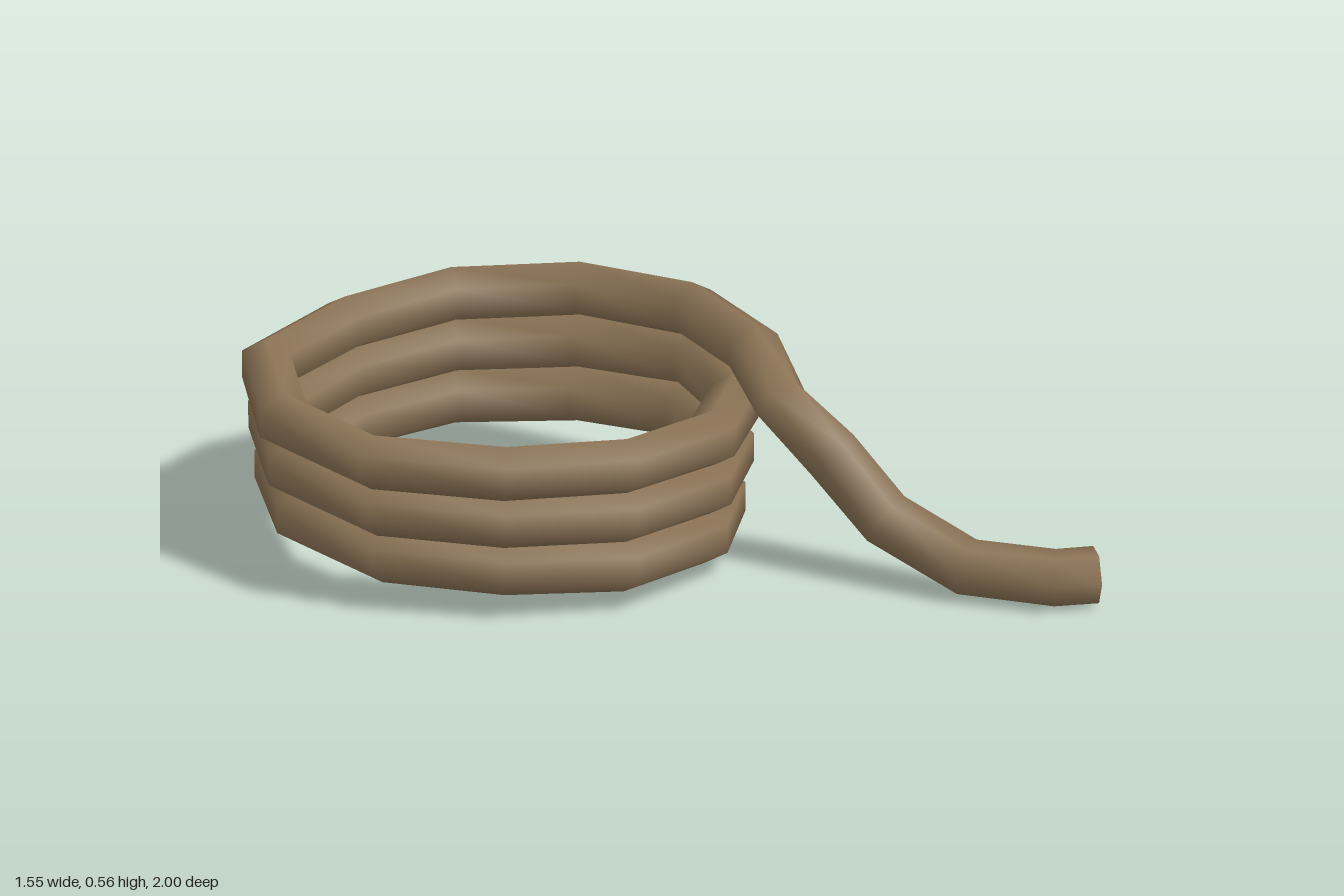
import * as THREE from 'three';

const SIDES = 6, RADIUS = 0.074, PER_TURN = 11, TURNS = 3;

// Centre line: three rising turns, then a loose tail; each point carries a roll of the section
function ropePath() {
  const radii = [0.6, 0.58, 0.57, 0.565, 0.57, 0.625, 0.63, 0.63, 0.565, 0.575, 0.588];
  const path = [];
  for (let i = 0; i <= PER_TURN * TURNS; i++) {
    const a = (i / PER_TURN) * Math.PI * 2;
    const lower = Math.max(0, TURNS - 1 - Math.floor(i / PER_TURN));
    const r = radii[i % PER_TURN] - 0.025 * lower * Math.abs(Math.cos(a));
    const y = 0.074 + (0.134 * i) / PER_TURN;
    path.push({ p: new THREE.Vector3(-0.105 + r * Math.cos(a), y, -0.375 + r * Math.sin(a)), roll: 0 });
  }
  const tail = [
    [0.42, 0.482, -0.04, 0], [0.29, 0.45, 0.225, 0.25], [0.37, 0.32, 0.335, 0.5],
    [0.435, 0.17, 0.47, 0.5], [0.525, 0.08, 0.685, 0.52], [0.65, 0.079, 0.885, 0.52],
    [0.745, 0.079, 0.935, 0.52],
  ];
  for (const [x, y, z, roll] of tail) path.push({ p: new THREE.Vector3(x, y, z), roll });
  return path;
}

// Sweeps a hexagon along the path, keeping its section upright
function sweep(path) {
  const pos = [], index = [], up = new THREE.Vector3(0, 1, 0), last = path.length - 1;
  const dir = (i) => path[i + 1].p.clone().sub(path[i].p).normalize();
  const rings = path.map(({ p, roll }, i) => {
    const t = new THREE.Vector3();
    if (i > 0) t.add(dir(i - 1));
    if (i < last) t.add(dir(i));
    t.normalize();
    const side = t.clone().cross(up).normalize();
    const n = side.clone().cross(t);
    return Array.from({ length: SIDES }, (_, j) => {
      const a = (j / SIDES) * Math.PI * 2 + Math.PI / 6 + roll;
      return p.clone().addScaledVector(side, RADIUS * Math.cos(a)).addScaledVector(n, RADIUS * Math.sin(a));
    });
  });
  const addRing = (ring) => ring.forEach((v) => pos.push(v.x, v.y, v.z));
  rings.forEach(addRing);
  for (let i = 0; i < last; i++) {
    for (let j = 0; j < SIDES; j++) {
      const k = (j + 1) % SIDES;
      const a = i * SIDES + j, b = i * SIDES + k, c = a + SIDES, d = b + SIDES;
      index.push(a, c, b, b, c, d);
    }
  }
  // flat cut ends
  for (const end of [0, last]) {
    const s = pos.length / 3;
    addRing(rings[end]);
    for (let j = 1; j < SIDES - 1; j++) {
      if (end === 0) index.push(s, s + j, s + j + 1);
      else index.push(s, s + j + 1, s + j);
    }
  }
  const geo = new THREE.BufferGeometry();
  geo.setAttribute('position', new THREE.Float32BufferAttribute(pos, 3));
  geo.setIndex(index);
  geo.computeVertexNormals();
  return geo;
}

export function createModel() {
  const group = new THREE.Group();
  group.name = 'coiledRope';
  const brown = new THREE.MeshStandardMaterial({ color: 0x8b7355 });
  brown.name = 'ropeBrown';
  const rope = new THREE.Mesh(sweep(ropePath()), brown);
  rope.name = 'rope';
  group.add(rope);
  return group;
}
